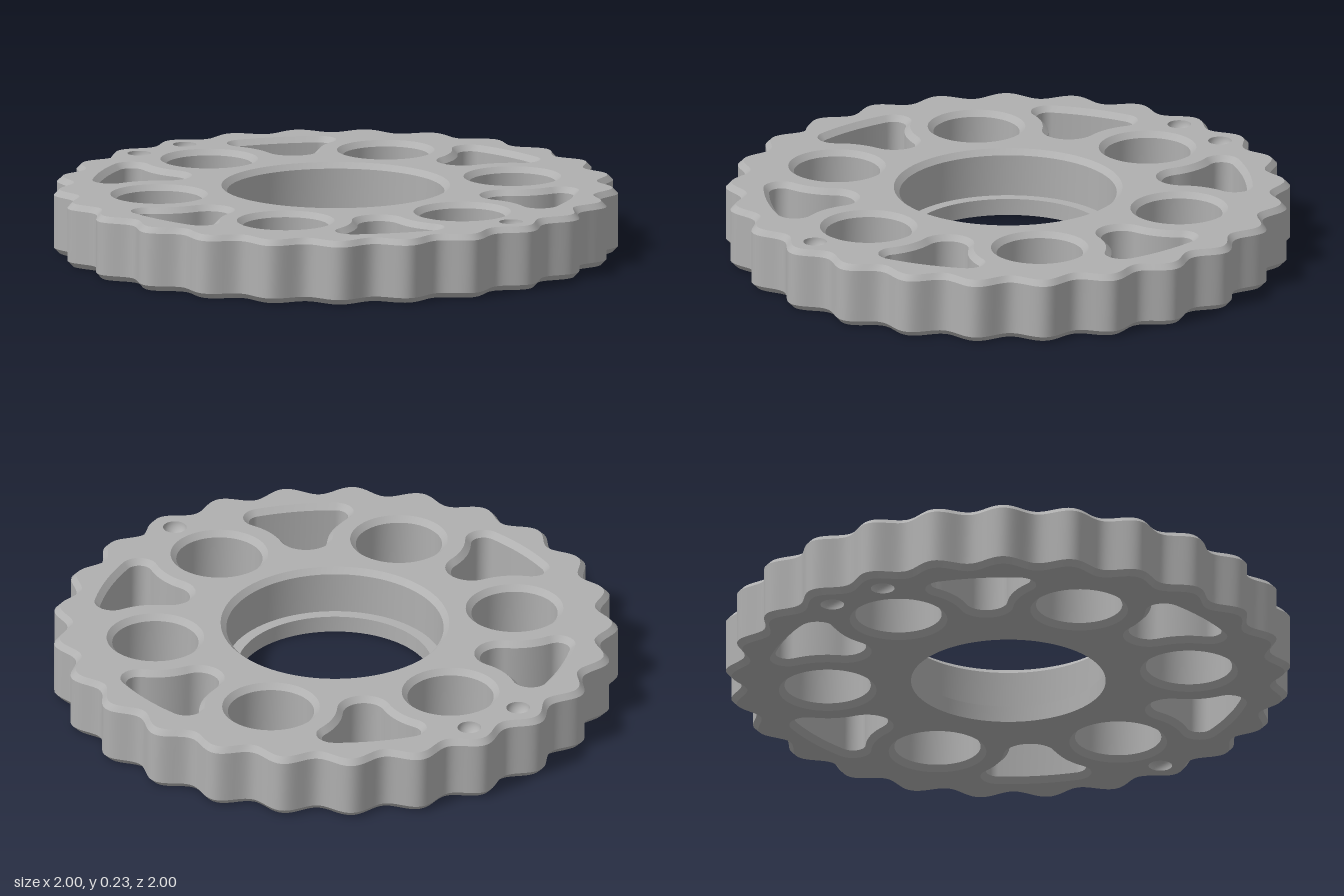
import * as THREE from 'three';

const H = 0.23, C = 0.02;          // plate thickness, chamfer
const PITCH = 0.645;               // radius of the ring of round holes
const TEETH = 25;
const { sin, cos, atan2, sqrt, PI } = Math;

const metal = new THREE.MeshStandardMaterial({ color: 0xb0b0b0 });
metal.name = 'grey metal';

const V = (x, y) => new THREE.Vector2(x, y);

function arc(c, r, a0, a1, n, closed = false) {
  const pts = [];
  for (let i = 0; i < n + (closed ? 1 : 0); i++) {
    const a = a0 + (a1 - a0) * i / n;
    pts.push(V(c.x + r * cos(a), c.y + r * sin(a)));
  }
  return pts;
}
const circle = (c, r, n = 64) => arc(c, r, 0, 2 * PI, n);
const polar = (r, a) => V(r * cos(a), r * sin(a));

// Scalloped rim, grown by o
function rim(o) {
  const n = TEETH * 20, pts = [];
  for (let i = 0; i < n; i++) {
    const a = 2 * PI * i / n;
    pts.push(polar(0.975 + 0.027 * cos(TEETH * a) + o, a));
  }
  return pts;
}

// Three-cornered window: round inner tip, concave sides, curved outer edge
function windowLoop(o, turn) {
  const tipR = 0.075, sideR = 0.255, cornerR = 0.045, outerR = 0.847;
  const S = polar(PITCH, PI / 3), SL = V(-S.x, S.y);
  const tip = V(0, S.y + sqrt((sideR + tipR) ** 2 - S.x ** 2));
  const q = outerR - cornerR;
  const lean = PI / 6 - Math.acos((q * q + PITCH * PITCH - (sideR + cornerR) ** 2) / (2 * q * PITCH));
  const K = polar(q, PI / 2 - lean), KL = V(-K.x, K.y);
  const t = atan2(tip.y - S.y, S.x);               // slope towards the tip
  const k = atan2(K.y - S.y, S.x - K.x);           // slope towards the corner
  const pts = [
    ...arc(tip, tipR + o, PI + t, 2 * PI - t, 20),
    ...arc(S, sideR - o, PI - t, PI - k, 12),
    ...arc(K, cornerR + o, -k, PI / 2 - lean, 14),
    ...arc(V(0, 0), outerR + o, PI / 2 - lean, PI / 2 + lean, 12),
    ...arc(KL, cornerR + o, PI / 2 + lean, PI + k, 14),
    ...arc(SL, sideR - o, k, t, 12),
  ];
  return pts.map(p => p.rotateAround(V(0, 0), turn));
}

// Strip of faces between two matching loops
function band(a, ya, b, yb) {
  const n = a.length, pos = [], idx = [];
  a.forEach(p => pos.push(p.x, ya, -p.y));
  b.forEach(p => pos.push(p.x, yb, -p.y));
  for (let i = 0; i < n; i++) {
    const j = (i + 1) % n;
    idx.push(i, j, n + j, i, n + j, n + i);
  }
  const g = new THREE.BufferGeometry();
  g.setAttribute('position', new THREE.Float32BufferAttribute(pos, 3));
  g.setIndex(idx);
  g.computeVertexNormals();
  return g;
}

export function createModel() {
  const model = new THREE.Group();
  model.name = 'scallopedPlate';
  const add = (name, geometry) => {
    const m = new THREE.Mesh(geometry, metal);
    m.name = name;
    model.add(m);
    return m;
  };
  // Walls through a list of [loop, height]; rising faces outwards, falling faces inwards
  const walls = (name, levels) => {
    for (let i = 0; i + 1 < levels.length; i++) add(name, band(...levels[i], ...levels[i + 1]));
  };
  const chamfered = f => [[f(C), H], [f(0), H - C], [f(0), C], [f(C), 0]];

  // Scalloped outer edge
  walls('outerEdge', [[rim(-C), 0], [rim(0), C], [rim(0), H - C], [rim(-C), H]]);

  // Stepped centre bore
  const O = V(0, 0), ring = r => circle(O, r, 128);
  walls('centreBore', [[ring(0.405), H], [ring(0.385), H - C], [ring(0.385), 0.06],
    [ring(0.345), 0.06], [ring(0.345), 0]]);

  // Six round holes and six windows
  const holes = [];
  for (let i = 0; i < 6; i++) {
    const c = polar(PITCH, i * PI / 3);
    const round = o => circle(c, 0.153 + o);
    const win = o => windowLoop(o, i * PI / 3);
    walls('roundHole', chamfered(round));
    walls('window', chamfered(win));
    holes.push(round(C), win(C));
  }

  // Three small dimples on each face
  const dimpleR = 0.042, half = PI / TEETH;
  const bowl = new THREE.LatheGeometry(arc(O, dimpleR, 0, -PI / 2, 10, true), 32);
  for (const a of [0, PI - half, PI + half]) {
    const c = polar(0.893, a);
    holes.push(circle(c, dimpleR, 32));
    add('topDimple', bowl).position.set(c.x, H, -c.y);
    const low = add('bottomDimple', bowl);
    low.position.set(c.x, 0, -c.y);
    low.rotation.x = PI;
  }

  // Flat faces
  const face = bore => {
    const s = new THREE.Shape(rim(-C));
    s.holes = [ring(bore), ...holes].map(p => new THREE.Path(p));
    return new THREE.ShapeGeometry(s);
  };
  add('topFace', face(0.405).rotateX(-PI / 2).translate(0, H, 0));
  add('bottomFace', face(0.345).rotateX(PI / 2));

  // Odd tooth count: centre the bounding box
  model.children.forEach(m => { m.position.x -= 0.004; });
  return model;
}
